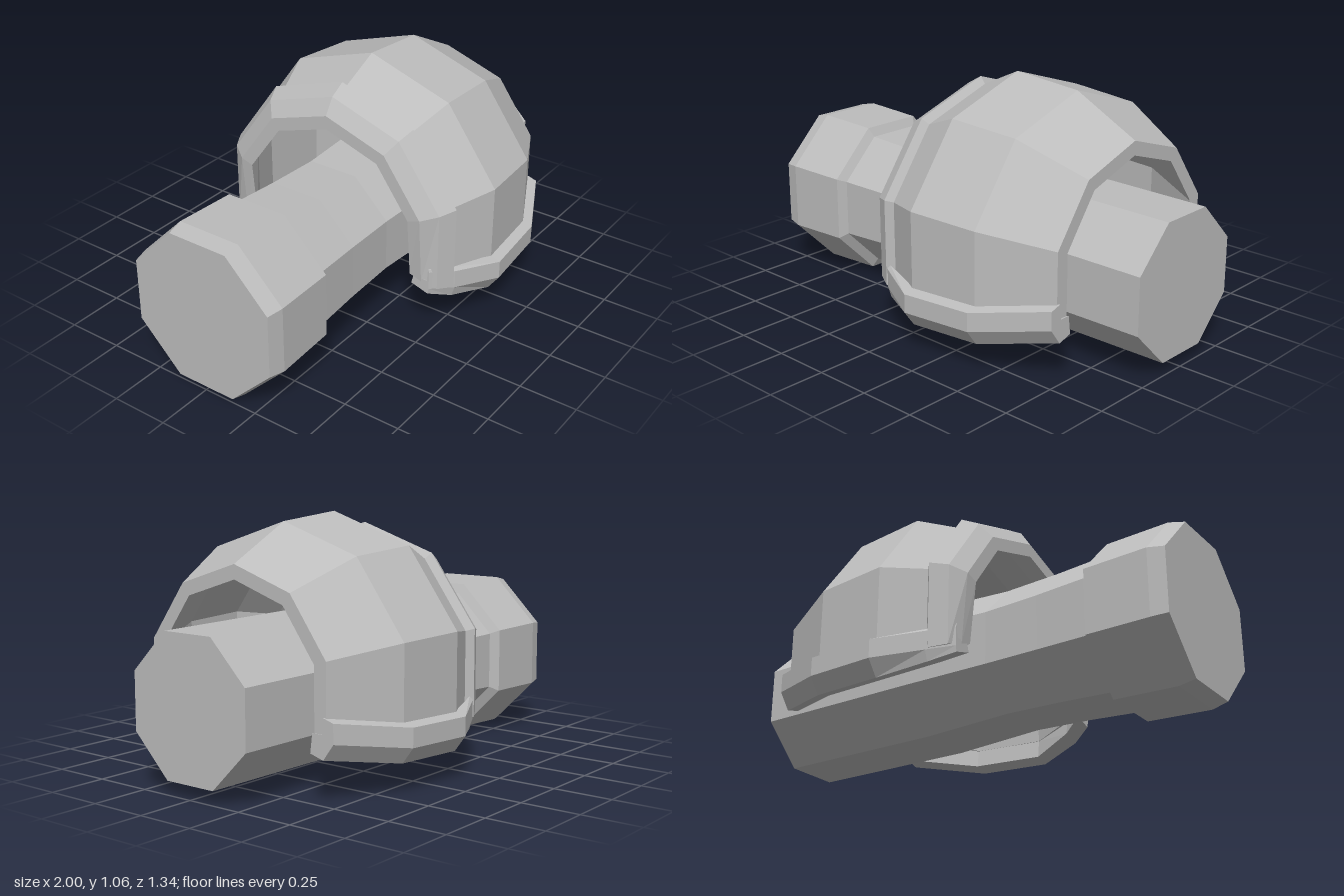
import * as THREE from 'three';

// Joins equal-length closed loops of [x, y, z] points into a capped solid with flat faces.
// capShape holds the 2D outline used to triangulate the two ends.
function loft(rings, capShape) {
  const n = rings[0].length, tris = [];
  for (let i = 0; i < rings.length - 1; i++) {
    for (let j = 0; j < n; j++) {
      const k = (j + 1) % n;
      const a = rings[i][j], b = rings[i][k], c = rings[i + 1][k], d = rings[i + 1][j];
      tris.push([a, b, c], [a, c, d]);
    }
  }
  let outline = capShape.map(([u, v]) => new THREE.Vector2(u, v));
  const caps = THREE.ShapeUtils.triangulateShape(outline, []);
  const ccw = THREE.ShapeUtils.area(outline) > 0;
  const last = rings[rings.length - 1];
  for (const [a, b, c] of caps) {
    // cap triangles follow the outline direction, so the first end is reversed
    const [p, q, r] = isForward(a, b, c, outline) === ccw ? [a, b, c] : [a, c, b];
    tris.push([rings[0][p], rings[0][r], rings[0][q]], [last[p], last[q], last[r]]);
  }
  // turn the whole solid right side out
  let volume = 0;
  const A = new THREE.Vector3(), B = new THREE.Vector3(), C = new THREE.Vector3();
  for (const [a, b, c] of tris) volume += A.fromArray(a).dot(B.fromArray(b).cross(C.fromArray(c)));
  if (volume < 0) tris.forEach((t) => t.reverse());
  const geometry = new THREE.BufferGeometry();
  geometry.setAttribute('position', new THREE.Float32BufferAttribute(tris.flat(2), 3));
  geometry.computeVertexNormals();
  return geometry;
}

function isForward(a, b, c, pts) {
  const [p, q, r] = [pts[a], pts[b], pts[c]];
  return (q.x - p.x) * (r.y - p.y) - (q.y - p.y) * (r.x - p.x) > 0;
}

export function createModel() {
  const group = new THREE.Group();
  const grey = new THREE.MeshStandardMaterial({ color: 0xbcbcbc });
  grey.name = 'grey';
  grey.flatShading = true;
  const add = (name, geometry) => {
    const mesh = new THREE.Mesh(geometry, grey);
    mesh.name = name;
    group.add(mesh);
  };

  // Octagonal shaft with a wider end: x, half height
  const shaft = [
    [-1, 0.332], [-0.93, 0.348], [-0.65, 0.338], [-0.63, 0.298],
    [-0.4, 0.285], [-0.15, 0.277], [0.25, 0.296], [1, 0.291],
  ];
  const octagon = Array.from({ length: 8 }, (_, i) => {
    const a = ((i + 0.5) * Math.PI) / 4, r = 1 / Math.cos(Math.PI / 8);
    return [Math.cos(a) * r, Math.sin(a) * r];
  });
  add('shaft', loft(
    shaft.map(([x, h]) => octagon.map(([z, y]) => [x, 0.352 + y * h, z * h])),
    octagon,
  ));

  // Arched cover with a raised collar: profile of x, radius, swept around the shaft
  const centreY = 0.403;
  const profile = [
    [-0.195, 0.49], [-0.15, 0.56], [-0.08, 0.6], [-0.055, 0.57],
    [0.13, 0.657], [0.45, 0.63], [0.742, 0.48],
    [0.742, 0.42], [0.44, 0.57], [0.13, 0.595], [-0.06, 0.51], [-0.195, 0.43],
  ];
  const arch = [];
  for (let deg = -18; deg <= 198; deg += 36) {
    const a = THREE.MathUtils.degToRad(deg);
    const lean = deg < 0 || deg > 180 ? 0.027 : 0;
    arch.push(profile.map(([x, r]) => [
      x < -0.19 ? x + lean : x, centreY + Math.sin(a) * r, Math.cos(a) * r,
    ]));
  }
  add('cover', loft(arch, profile));

  // Thick rims along both lower edges: x, radius, outward step, depth below, wall thickness
  const rim = [
    [-0.168, 0.53, 0, 0.035, 0.08], [-0.07, 0.59, 0.01, 0.055, 0.075],
    [0.13, 0.657, 0.044, 0.077, 0.06], [0.45, 0.63, 0.044, 0.077, 0.06],
    [0.75, 0.476, 0.044, 0.077, 0.06],
  ];
  const section = ([x, r, out, drop, wall]) => {
    const z = r * 0.951, y = centreY - r * 0.309;
    const inner = (r - wall) * 0.951, innerY = centreY - (r - wall) * 0.309;
    return [
      [x, y + 0.085, z - 0.005], [x, y + 0.07, z + out], [x, y - 0.01, z + out],
      [x, y - drop, z - 0.005], [x, innerY - drop, inner - 0.01], [x, innerY + 0.002, inner],
      [x, innerY + 0.002, z - 0.01],
    ];
  };
  for (const side of [1, -1]) {
    const rings = rim.map((s) => section(s).map(([x, y, z]) => [x, y, z * side]));
    add(side > 0 ? 'frontRim' : 'backRim', loft(rings, rings[4].map(([, y, z]) => [z, y])));
  }
  return group;
}
